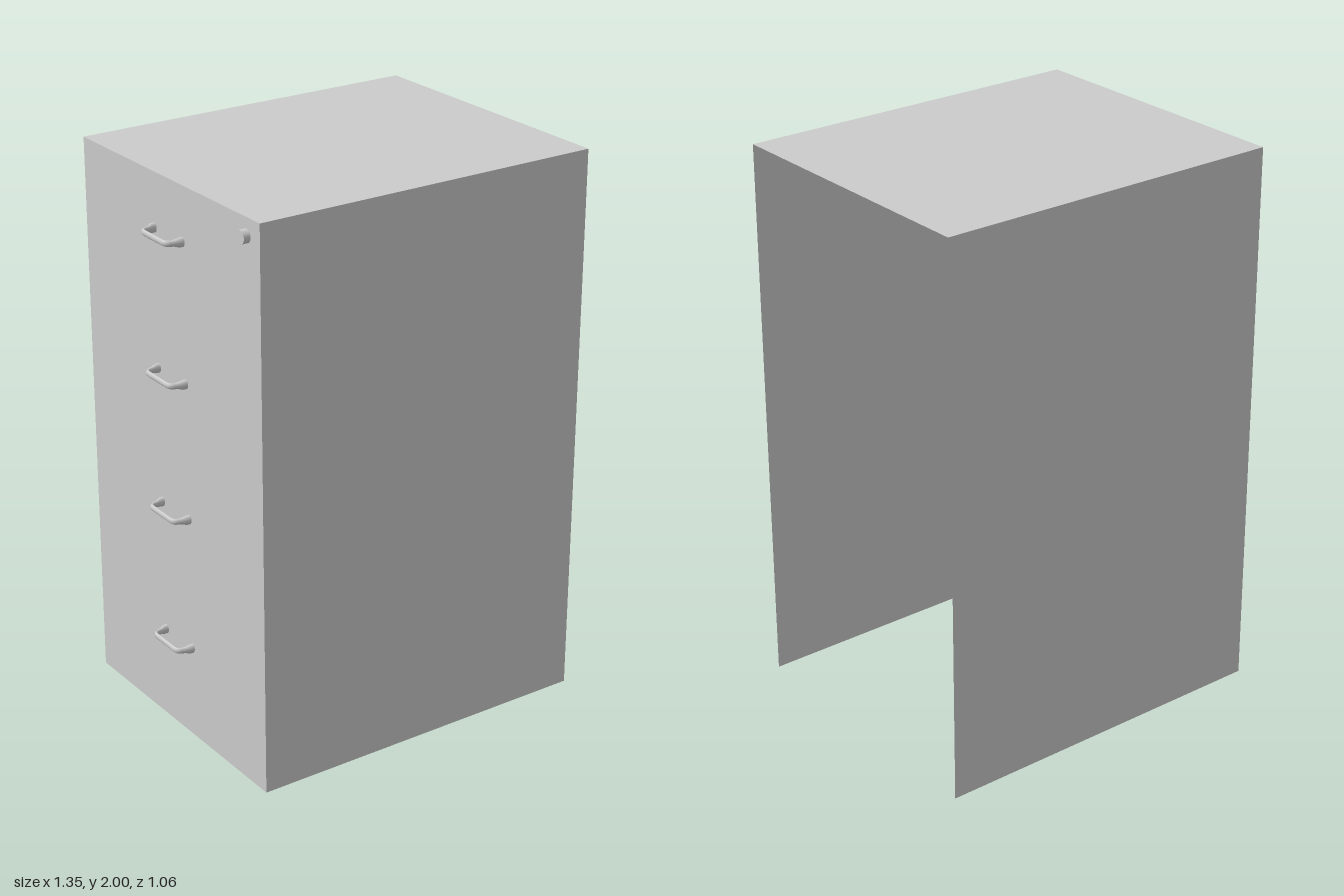
import * as THREE from 'three';

const grey = new THREE.MeshStandardMaterial({ color: 0xcccccc });
const sheet = new THREE.MeshStandardMaterial({ color: 0xcccccc, side: THREE.DoubleSide });

const X0 = -0.614, X1 = 0.674, Z = 0.53, H = 2;   // cabinet limits

// Thin panel, turned and placed
function panel(name, w, h, position, rotation) {
  const mesh = new THREE.Mesh(new THREE.PlaneGeometry(w, h), sheet);
  mesh.name = name;
  mesh.position.set(...position);
  mesh.rotation.set(...rotation);
  return mesh;
}

// Bow handle: oval sections swept along a U path, flared at the feet
function handleGeometry() {
  // x, z, half thickness, half height
  const half = [
    [X0, -0.0845, 0.0115, 0.017], [-0.628, -0.084, 0.011, 0.0165],
    [-0.643, -0.080, 0.0075, 0.0115], [-0.655, -0.0775, 0.0065, 0.0105],
    [-0.663, -0.073, 0.0065, 0.0105], [-0.668, -0.066, 0.0065, 0.0105],
    [-0.6695, -0.054, 0.0065, 0.0105], [-0.6695, -0.02, 0.0065, 0.0105],
  ];
  const path = [...half, ...half.map(([x, z, a, b]) => [x, -z, a, b]).reverse()];
  const sides = 16, positions = [], index = [];
  path.forEach(([x, z, a, b], i) => {
    const p = path[Math.max(i - 1, 0)], q = path[Math.min(i + 1, path.length - 1)];
    const end = i === 0 || i === path.length - 1;
    const t = end ? new THREE.Vector2(i === 0 ? -1 : 1, 0)
      : new THREE.Vector2(q[0] - p[0], q[1] - p[1]).normalize();
    for (let j = 0; j < sides; j++) {
      const angle = (j / sides) * Math.PI * 2;
      const u = Math.cos(angle) * a, v = Math.sin(angle) * b;
      positions.push(x + t.y * u, v, z - t.x * u);
      if (i < path.length - 1) {
        const k = (j + 1) % sides, r = i * sides, s = r + sides;
        index.push(r + j, r + k, s + k, r + j, s + k, s + j);
      }
    }
  });
  const geometry = new THREE.BufferGeometry();
  geometry.setAttribute('position', new THREE.Float32BufferAttribute(positions, 3));
  geometry.setIndex(index);
  geometry.computeVertexNormals();
  return geometry;
}

export function createModel() {
  const model = new THREE.Group();
  model.name = 'filingCabinet';

  // Sheet shell, open underneath and on the +x side
  const length = X1 - X0, cx = (X0 + X1) / 2;
  const shell = new THREE.Group();
  shell.name = 'shell';
  shell.add(
    panel('topPanel', length, Z * 2, [cx, H, 0], [-Math.PI / 2, 0, 0]),
    panel('sidePanelFront', length, H, [cx, H / 2, Z], [0, 0, 0]),
    panel('sidePanelBack', length, H, [cx, H / 2, -Z], [0, Math.PI, 0]),
    panel('drawerPanel', Z * 2, H, [X0, H / 2, 0], [0, -Math.PI / 2, 0]),
  );
  model.add(shell);

  // One handle per drawer
  const geometry = handleGeometry();
  for (let i = 0; i < 4; i++) {
    const handle = new THREE.Mesh(geometry, grey);
    handle.name = `drawerHandle${i + 1}`;
    handle.position.y = 1.811 - i * 0.489;
    model.add(handle);
  }

  // Round lock in the upper corner
  const lock = new THREE.Mesh(new THREE.CylinderGeometry(0.023, 0.023, 0.024, 24), grey);
  lock.name = 'lock';
  lock.rotation.z = Math.PI / 2;
  lock.position.set(X0 - 0.012, 1.94, 0.456);
  model.add(lock);

  return model;
}
